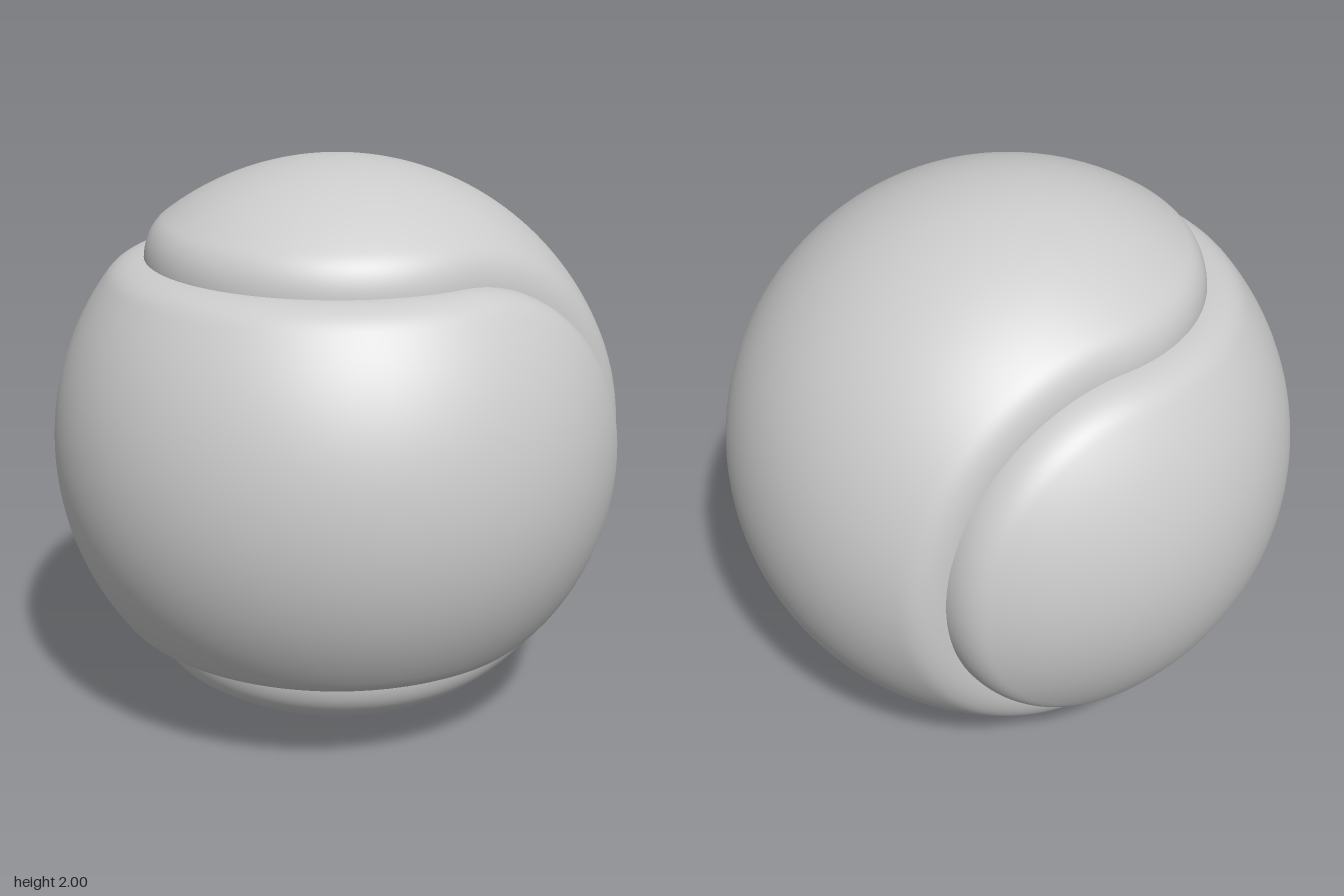
import * as THREE from 'three';
import { mergeVertices } from 'three/addons/utils/BufferGeometryUtils.js';

const H = Math.SQRT1_2;      // seam runs along four half circles at 45 degrees
const SEAM_DEPTH = 0.058;
const SEAM_WIDTH = 0.14;

// Upper half of the seam round one panel, t from 0 (left tip) to 2 PI (right tip)
function seamPoint(t) {
  if (t > Math.PI) {
    const p = seamPoint(2 * Math.PI - t);
    p.x *= -1;
    return p;
  }
  if (t < Math.PI / 2) return new THREE.Vector3(H, H * Math.sin(t), -H * Math.cos(t));
  const a = t - Math.PI / 2;
  return new THREE.Vector3(H * Math.cos(a), H, H * Math.sin(a));
}

// Padded surface: full radius, rolling down steeply into the seam
function ballRadius(dir) {
  const across = Math.abs(dir.z >= 0 ? dir.y : dir.x);
  const distance = Math.abs(Math.asin(Math.min(1, across)) - Math.PI / 4);
  const k = Math.max(0, 1 - distance / SEAM_WIDTH);
  return 1 - SEAM_DEPTH * k * k;
}

// One dumbbell-shaped felt panel, as arcs spanning between mirrored seam points
function panelGeometry(columns = 256, rows = 72) {
  const positions = [];
  const index = [];
  for (let i = 0; i <= columns; i++) {
    const seam = seamPoint((i / columns) * Math.PI * 2);
    const halfAngle = Math.asin(Math.min(1, Math.max(0, seam.y)));
    const middle = new THREE.Vector3(seam.x, 0, seam.z).normalize();
    for (let j = 0; j <= rows; j++) {
      // rows crowd towards the seam
      const angle = halfAngle * Math.sin((j / rows - 0.5) * Math.PI);
      const p = middle.clone().multiplyScalar(Math.cos(angle));
      p.y = Math.sin(angle);
      p.multiplyScalar(ballRadius(p));
      positions.push(p.x, p.y, p.z);
      if (i < columns && j < rows) {
        const a = i * (rows + 1) + j;
        const c = a + rows + 1;
        index.push(a, a + 1, c, a + 1, c + 1, c);
      }
    }
  }
  const geometry = new THREE.BufferGeometry();
  geometry.setAttribute('position', new THREE.Float32BufferAttribute(positions, 3));
  geometry.setIndex(index);
  const welded = mergeVertices(geometry, 1e-6);
  welded.computeVertexNormals();
  return welded;
}

export function createModel() {
  const ball = new THREE.Group();
  ball.name = 'seamedBall';

  const felt = new THREE.MeshStandardMaterial({ color: 0xcccccc });
  felt.name = 'grey felt';

  const geometry = panelGeometry();
  const frontPanel = new THREE.Mesh(geometry, felt);
  frontPanel.name = 'frontPanel';

  // The same panel, half a turn about the diagonal, interlocks from behind
  const backPanel = new THREE.Mesh(geometry, felt);
  backPanel.name = 'backPanel';
  backPanel.quaternion.setFromAxisAngle(new THREE.Vector3(H, H, 0), Math.PI);

  for (const panel of [frontPanel, backPanel]) {
    panel.position.y = 1;
    ball.add(panel);
  }
  return ball;
}
